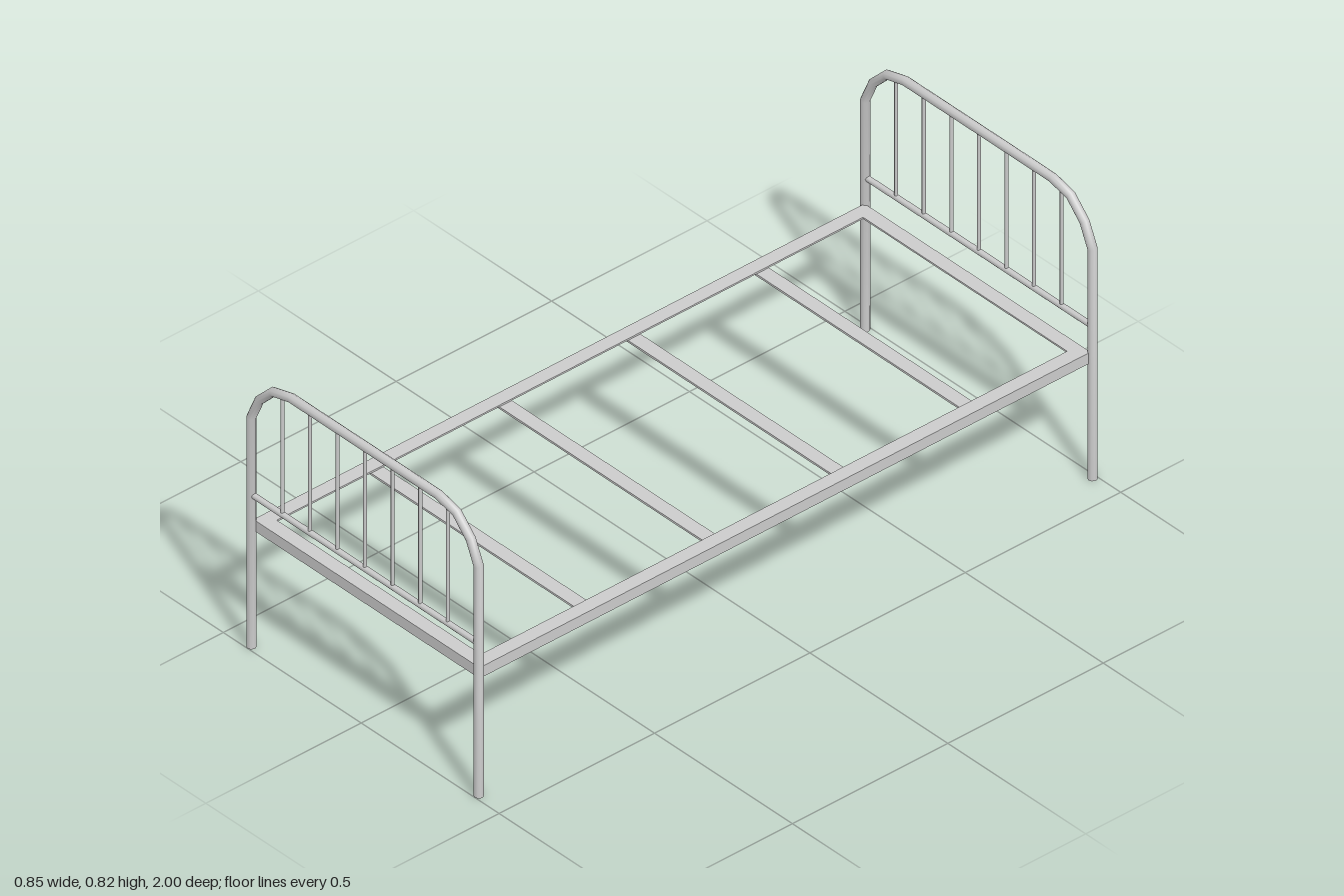
import * as THREE from 'three';

const metal = new THREE.MeshStandardMaterial({ color: 0xcccccc });

function add(parent, geometry, name, x = 0, y = 0, z = 0) {
  const mesh = new THREE.Mesh(geometry, metal);
  mesh.name = name;
  mesh.position.set(x, y, z);
  parent.add(mesh);
  return mesh;
}

// Polyline whose tube rings sit exactly on the corner points
class BentPath extends THREE.Curve {
  constructor(points) {
    super();
    this.points = points;
  }
  getPoint(t) {
    const last = this.points.length - 1;
    const i = Math.min(Math.floor(t * last + 1e-6), last - 1);
    return this.points[i].clone().lerp(this.points[i + 1], t * last - i);
  }
  getPointAt(t) {
    return this.getPoint(t);
  }
  getTangentAt(t) {
    const p = this.points, last = p.length - 1, i = Math.round(t * last);
    const sum = new THREE.Vector3();
    if (i > 0) sum.add(p[i].clone().sub(p[i - 1]).normalize());
    if (i < last) sum.add(p[i + 1].clone().sub(p[i]).normalize());
    return sum.normalize();
  }
}

// Rectangular ring lying flat, from outer half sizes to inner half sizes
function ringGeometry(ox, oz, ix, iz, height) {
  const rectangle = (path, x, z) =>
    path.moveTo(-x, -z).lineTo(x, -z).lineTo(x, z).lineTo(-x, z).closePath();
  const shape = rectangle(new THREE.Shape(), ox, oz);
  shape.holes.push(rectangle(new THREE.Path(), ix, iz));
  return new THREE.ExtrudeGeometry(shape, { depth: height, bevelEnabled: false }).rotateX(-Math.PI / 2);
}

// Bent tube with legs, a cross bar and upright spindles
function createEndPanel(name) {
  const panel = new THREE.Group();
  panel.name = name;
  const half = [[0.412, 0], [0.412, 0.68], [0.383, 0.745], [0.333, 0.796], [0.267, 0.813]];
  const outline = [...half, ...half.slice().reverse().map(([x, y]) => [-x, y])];
  const path = new BentPath(outline.map(([x, y]) => new THREE.Vector3(x, y, 0)));
  add(panel, new THREE.TubeGeometry(path, outline.length - 1, 0.0125, 10), 'bentTube');

  for (const side of [-1, 1]) {
    add(panel, new THREE.CircleGeometry(0.0125, 10).rotateX(Math.PI / 2), 'legEnd', side * 0.412, 0, 0);
  }

  add(panel, new THREE.CylinderGeometry(0.008, 0.008, 0.824, 8).rotateZ(Math.PI / 2), 'crossBar', 0, 0.451, 0);

  for (let i = -3; i <= 3; i++) {
    const top = Math.abs(i) === 3 ? 0.802 : 0.812;
    add(panel, new THREE.CylinderGeometry(0.005, 0.005, top - 0.451, 8), 'spindle', i * 0.1, (top + 0.451) / 2, 0);
  }
  return panel;
}

export function createModel() {
  const bed = new THREE.Group();
  bed.name = 'bedFrame';

  // Head and foot panels
  for (const [name, z] of [['headPanel', -0.9875], ['footPanel', 0.9875]]) {
    const panel = createEndPanel(name);
    panel.position.z = z;
    bed.add(panel);
  }

  // Angle iron frame: upright flange with a flat flange on top
  const frame = new THREE.Group();
  frame.name = 'angleIronFrame';
  add(frame, ringGeometry(0.41, 0.983, 0.404, 0.977, 0.027), 'uprightFlange', 0, 0.343, 0);
  add(frame, ringGeometry(0.41, 0.983, 0.37, 0.943, 0.005), 'topFlange', 0, 0.37, 0);
  bed.add(frame);

  // Flat slats between the side rails
  for (const z of [-0.62, -0.207, 0.207, 0.62]) {
    add(bed, new THREE.BoxGeometry(0.808, 0.006, 0.04), 'slat', 0, 0.367, z);
  }
  return bed;
}
